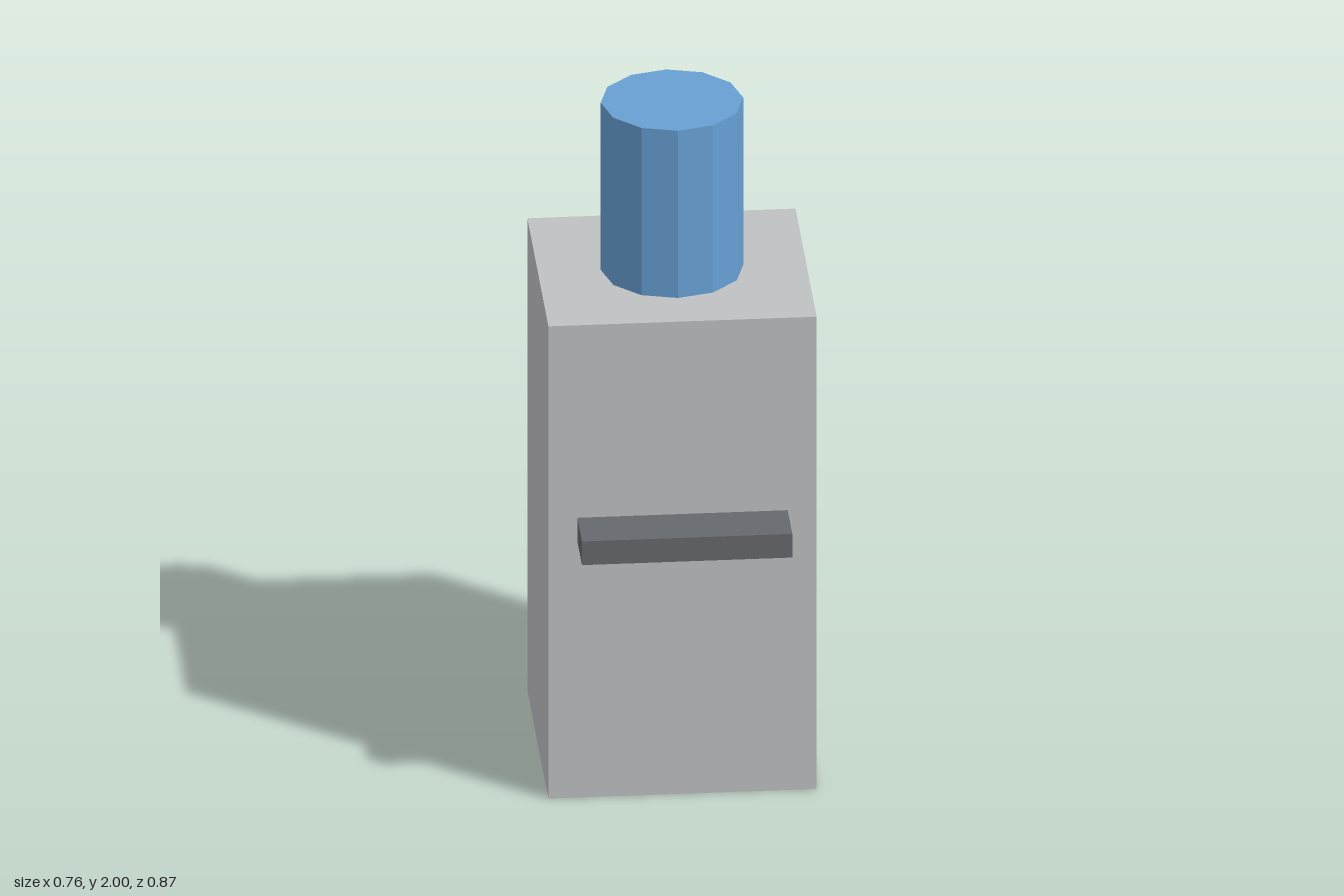
import * as THREE from 'three';

const mat = (name, color) => {
  const m = new THREE.MeshStandardMaterial({ color, flatShading: true });
  m.name = name;
  return m;
};

export function createModel() {
  const casing = mat('light grey casing', 0xbfc0c2);
  const bottleBlue = mat('bottle blue', 0x67a0d4);
  const trayGrey = mat('dark grey tray', 0x65686d);

  const group = new THREE.Group();
  group.name = 'waterDispenser';
  const add = (name, geometry, material, x, y, z) => {
    const mesh = new THREE.Mesh(geometry, material);
    mesh.name = name;
    mesh.position.set(x, y, z);
    group.add(mesh);
  };

  // Upright cabinet
  add('cabinet', new THREE.BoxGeometry(0.76, 1.477, 0.712), casing, 0, 0.7385, -0.078);
  // Twelve-sided bottle standing on the cabinet
  add('bottle', new THREE.CylinderGeometry(0.202, 0.202, 0.523, 12), bottleBlue, 0, 1.7385, -0.079);
  // Drip tray projecting from the front
  add('dripTray', new THREE.BoxGeometry(0.596, 0.074, 0.156), trayGrey, 0, 0.838, 0.356);

  return group;
}
